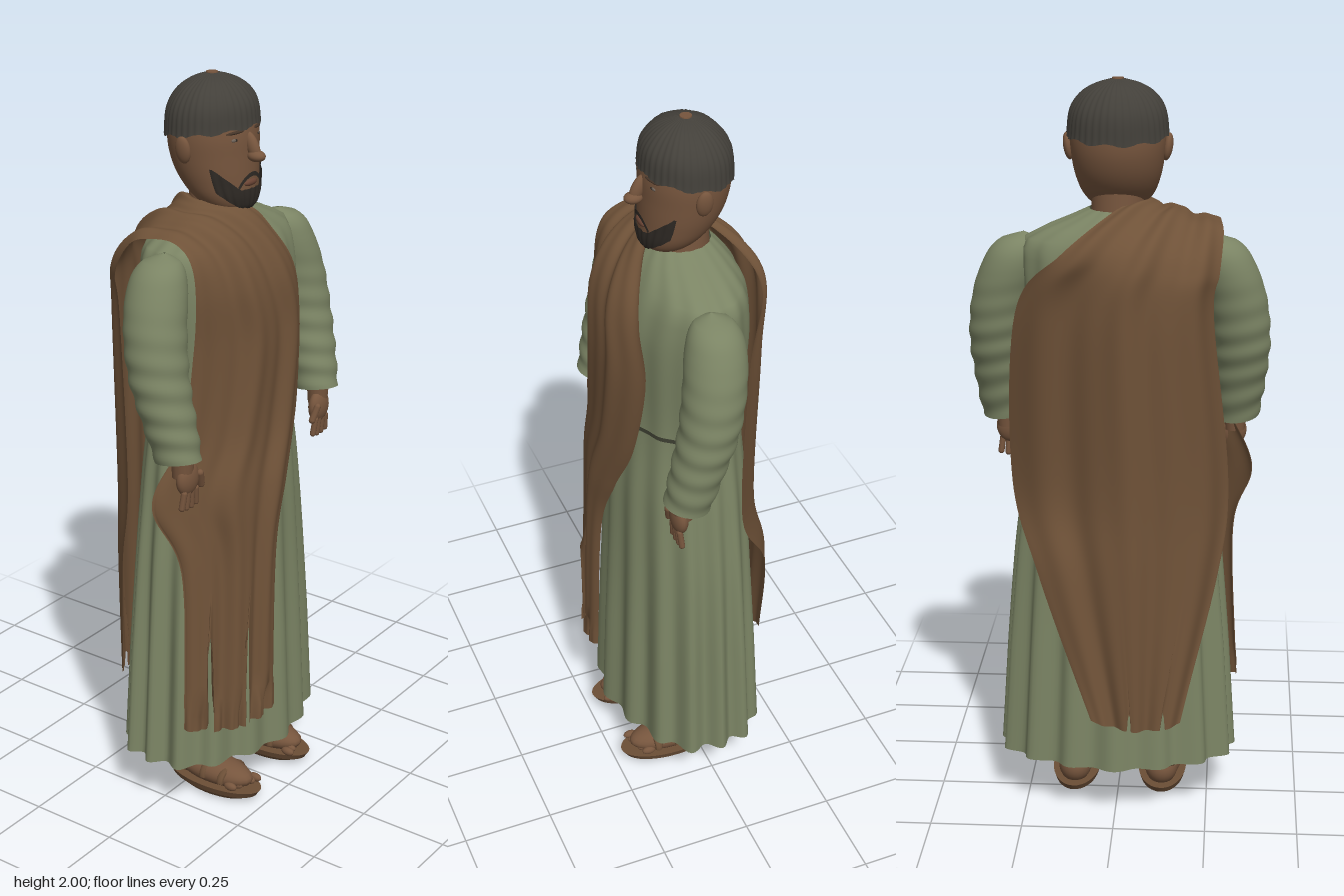
import * as THREE from 'three';
import { mergeVertices } from 'three/addons/utils/BufferGeometryUtils.js';

const mat = (name, color) => new THREE.MeshStandardMaterial({ name, color, side: THREE.DoubleSide });
const { sin, cos, abs, exp, min, max, PI } = Math;

// Smoothly interpolate table rows by their first column
function sample(rows, k) {
  let i = 0;
  while (i < rows.length - 2 && k > rows[i + 1][0]) i++;
  const a = rows[i], b = rows[i + 1], p = rows[i - 1] || a, n = rows[i + 2] || b;
  const h = b[0] - a[0], t = min(1, max(0, (k - a[0]) / h));
  return a.map((_, j) => {
    const m0 = (b[j] - p[j]) / (b[0] - p[0]) * h, m1 = (n[j] - a[j]) / (n[0] - a[0]) * h;
    return a[j] * (2 * t ** 3 - 3 * t * t + 1) + m0 * (t ** 3 - 2 * t * t + t)
      + b[j] * (3 * t * t - 2 * t ** 3) + m1 * (t ** 3 - t * t);
  });
}

// Grid surface from fn(u, v) -> [x, y, z]
function surface(nu, nv, fn) {
  const pos = [], idx = [];
  for (let j = 0; j <= nv; j++) for (let i = 0; i <= nu; i++) {
    pos.push(...fn(i / nu, j / nv));
    if (i < nu && j < nv) {
      const a = j * (nu + 1) + i, d = a + nu + 1;
      idx.push(a, a + 1, d + 1, a, d + 1, d);
    }
  }
  let g = new THREE.BufferGeometry();
  g.setAttribute('position', new THREE.Float32BufferAttribute(pos, 3));
  g.setIndex(idx);
  g = mergeVertices(g, 1e-5);
  g.computeVertexNormals();
  return g;
}
const ring = (n, nv, y0, y1, fn) => surface(n, nv, (u, v) => fn(u * 2 * PI, y0 + v * (y1 - y0)));

// Robe sections: y, half width, front depth, back depth
const ROBE = [
  [0.15, 0.318, 0.222, 0.197], [0.7, 0.28, 0.2, 0.17], [0.95, 0.252, 0.19, 0.16],
  [1.18, 0.227, 0.172, 0.145], [1.45, 0.25, 0.178, 0.16], [1.54, 0.254, 0.16, 0.152],
  [1.59, 0.24, 0.135, 0.135], [1.64, 0.13, 0.1, 0.1], [1.665, 0.075, 0.078, 0.078]];
function robePoint(th, y, off = 0) {
  const [, rx, f, b] = sample(ROBE, y);
  const amp = 0.003 + 0.009 * max(0, min(1, (1.15 - y) / 0.7));
  const r = 1 + (off + amp * (cos(16 * th) + 0.4 * cos(6 * th))) / 0.24;
  return [sin(th) * rx * r, y, cos(th) * (cos(th) > 0 ? f : b) * r];
}

// Head and cap sections: y, half width, centre z, half depth
const HEAD = [
  [1.65, 0.005, 0.05, 0.005], [1.66, 0.05, 0.045, 0.045], [1.69, 0.086, 0.028, 0.077],
  [1.74, 0.108, 0.006, 0.1], [1.8, 0.12, -0.008, 0.112], [1.86, 0.124, -0.012, 0.113],
  [1.92, 0.113, -0.015, 0.1], [1.97, 0.07, -0.015, 0.06], [1.985, 0.005, -0.015, 0.005]];
const CAP = [
  [1.858, 0.131, -0.014, 0.117], [1.92, 0.122, -0.015, 0.11], [1.96, 0.096, -0.015, 0.086],
  [1.985, 0.056, -0.015, 0.052], [1.998, 0.012, -0.015, 0.012]];
function ovalPoint(rows, th, y, off = 0) {
  const [, rx, cz, rz] = sample(rows, y);
  return [sin(th) * (rx + off), y, cz + cos(th) * (rz + off)];
}

// Sleeve rings: y, x, z, radius
const SLEEVE = [
  [1.08, 0.318, 0.11, 0.059], [1.18, 0.323, 0.085, 0.069], [1.3, 0.325, 0.055, 0.077],
  [1.42, 0.311, 0.035, 0.08], [1.52, 0.282, 0.022, 0.075], [1.575, 0.264, 0.02, 0.05],
  [1.595, 0.25, 0.02, 0.003]];

// Cloak edges and middle line, from front hem over the shoulder to back hem
const OUTER = [
  [-0.33, 0.3, 0.13], [-0.31, 0.75, 0.11], [-0.355, 0.95, 0.05], [-0.28, 1.12, 0.09], [-0.256, 1.35, 0.11],
  [-0.26, 1.5, 0.12], [-0.262, 1.585, 0.105], [-0.262, 1.625, 0.06], [-0.268, 1.63, 0], [-0.275, 1.61, -0.07],
  [-0.27, 1.52, -0.13], [-0.26, 1.4, -0.13], [-0.305, 0.95, -0.08], [-0.28, 0.7, -0.125], [-0.18, 0.3, -0.212]];
const MIDDLE = [
  [-0.2, 0.28, 0.222], [-0.17, 0.75, 0.213], [-0.16, 0.95, 0.21], [-0.1, 1.12, 0.21], [-0.06, 1.35, 0.213],
  [-0.08, 1.5, 0.197], [-0.1, 1.6, 0.15], [-0.13, 1.657, 0.075], [-0.15, 1.665, 0], [-0.13, 1.65, -0.09],
  [-0.08, 1.56, -0.195], [-0.03, 1.4, -0.218], [-0.04, 0.95, -0.208], [-0.05, 0.7, -0.214], [-0.06, 0.28, -0.225]];
const INNER = [
  [-0.06, 0.3, 0.237], [-0.035, 0.75, 0.228], [0.04, 0.95, 0.212], [0.12, 1.12, 0.187], [0.16, 1.35, 0.165],
  [0.125, 1.5, 0.168], [0.065, 1.605, 0.14], [0.005, 1.676, 0.095], [-0.07, 1.69, 0], [0, 1.678, -0.09],
  [0.14, 1.57, -0.165], [0.265, 1.4, -0.08], [0.28, 0.95, -0.06], [0.2, 0.7, -0.165], [0.06, 0.31, -0.222]];
const LINES = [OUTER, MIDDLE, INNER].map(line => line.map((p, i) => [i, ...p]));
function cloakPoint(u, v) {
  const [a, b, c] = LINES.map(line => sample(line, v * (line.length - 1)));
  const p = [1, 2, 3].map(j =>
    2 * (u - 0.5) * (u - 1) * a[j] + 4 * u * (1 - u) * b[j] + 2 * u * (u - 0.5) * c[j]);
  // tails parted by narrow slits, deep in front and shallow behind
  const slit = exp(-(((u - 0.2) / 0.012) ** 2)) + exp(-(((u - 0.575) / 0.012) ** 2));
  if (p[1] < 0.68) p[1] += (v < 0.4 ? 0.3 : 0.05) * slit * (0.68 - p[1]) / 0.4;
  return p;
}

// Cloak with broad folds pushed along its normals
function cloakGeometry(nu, nv) {
  const g = surface(nu, nv, cloakPoint), P = g.attributes.position, N = g.attributes.normal;
  for (let k = 0; k < P.count; k++) {
    const u = k % (nu + 1) / nu, v = Math.floor(k / (nu + 1)) / nv;
    const amp = 0.009 - 0.004 * exp(-(((v - 0.55) / 0.1) ** 2));
    const d = amp * (cos(2 * PI * (2.7 * u - 0.3 + 0.2 * sin(5 * v))) + 0.35 * sin(11 * PI * u + 4 * v));
    P.setXYZ(k, P.getX(k) + N.getX(k) * d, P.getY(k) + N.getY(k) * d, P.getZ(k) + N.getZ(k) * d);
  }
  g.computeVertexNormals();
  return g;
}

export function createModel() {
  const group = new THREE.Group();
  const robeMat = mat('robe green', 0x7b8464), cloakMat = mat('cloak brown', 0x6f5238);
  const skin = mat('skin', 0x76553d), hair = mat('hair charcoal', 0x43403a);
  const beardMat = mat('beard black', 0x2f2a25), sandalMat = mat('sandal leather', 0x6b4e36);
  const beltMat = mat('belt dark', 0x3e4032), lipMat = mat('lips', 0x6a4434);
  const eyeMat = mat('eye grey', 0x6f645a), browMat = mat('brow brown', 0x443428);
  const add = (name, geo, m, p = [0, 0, 0], s = [1, 1, 1], r = [0, 0, 0]) => {
    const mesh = new THREE.Mesh(geo, m);
    mesh.name = name;
    mesh.position.set(...p);
    mesh.scale.set(...s);
    mesh.rotation.set(...r);
    group.add(mesh);
  };
  const ball = new THREE.SphereGeometry(1, 24, 16);

  // Clothes
  add('robe', ring(160, 60, 0.15, 1.665, (th, y) => robePoint(th, y)), robeMat);
  add('belt', ring(160, 1, 1.175, 1.187, (th, y) => robePoint(th, y, 0.004)), beltMat);
  add('cloak', cloakGeometry(160, 150), cloakMat);

  // Head, neck and cap
  add('neck', new THREE.CylinderGeometry(0.066, 0.074, 0.14, 32), skin, [0, 1.66, -0.004]);
  add('head', ring(48, 40, 1.65, 1.985, (th, y) => ovalPoint(HEAD, th, y)), skin);
  add('cap', ring(160, 24, 1.858, 1.998, (th, y) => {
    const p = ovalPoint(CAP, th, y, 0.0015 * sin(40 * th));
    p[1] += (0.016 * cos(th) + 0.004 * sin(9 * th)) * (1.998 - y) / 0.14;
    return p;
  }), hair);
  add('crown spot', new THREE.CylinderGeometry(0.015, 0.016, 0.006, 20), skin, [0, 1.997, -0.015]);

  // Beard, moustache and lips
  add('beard', surface(40, 14, (u, v) => {
    const th = (u - 0.5) * 2.1, top = 1.72 + 0.06 * max(0, min(1, (abs(th) - 0.4) / 0.6));
    const low = 1.658 + 0.06 * (abs(th) / 1.05) ** 2;
    return ovalPoint(HEAD, th, low + v * (top - low), 0.005 + 0.002 * sin(30 * th));
  }), beardMat);
  add('moustache', surface(24, 4, (u, v) => {
    const th = (u - 0.5) * 0.9;
    return ovalPoint(HEAD, th, 1.75 + 0.011 * v - 0.032 * (abs(th) / 0.45) ** 2, 0.005);
  }), beardMat);
  add('lips', ball, lipMat, [0, 1.733, 0.104], [0.026, 0.009, 0.008]);

  // Nose
  add('nose bridge', ball, skin, [0, 1.826, 0.11], [0.014, 0.04, 0.018], [-0.45, 0, 0]);
  add('nose tip', ball, skin, [0, 1.803, 0.122], [0.02, 0.015, 0.025]);

  for (const s of [-1, 1]) {
    const side = s > 0 ? 'left ' : 'right ';
    // Ear and eye
    add(side + 'ear', ball, skin, [s * 0.128, 1.825, -0.012], [0.013, 0.036, 0.022], [0, 0, -s * 0.15]);
    add(side + 'eye', ball, eyeMat, [s * 0.045, 1.848, 0.089], [0.016, 0.006, 0.005]);
    add(side + 'pupil', ball, beardMat, [s * 0.045, 1.848, 0.092], [0.006, 0.005, 0.003]);
    add(side + 'eyebrow', ball, browMat, [s * 0.048, 1.867, 0.09], [0.026, 0.004, 0.006], [0, s * 0.4, -s * 0.08]);

    // Arm and hand
    add(side + 'sleeve', ring(40, 60, 1.08, 1.595, (th, y) => {
      const [, x, z, r] = sample(SLEEVE, y);
      const w = r + 0.0025 * sin(y * 95 + 1.5 * sin(th)) * max(0, min(1, (1.5 - y) * 5));
      return [s * x + sin(th) * w, y + 0.012 * cos(th + 0.6) * max(0, 1.2 - y) * 8, z + cos(th) * w];
    }), robeMat);
    add(side + 'wrist', new THREE.CylinderGeometry(0.034, 0.027, 0.1, 16), skin, [s * 0.312, 1.085, 0.118]);
    add(side + 'palm', ball, skin, [s * 0.304, 1.03, 0.127], [0.04, 0.046, 0.022]);
    for (let i = 0; i < 4; i++)
      add(side + 'finger', new THREE.CapsuleGeometry(0.0085, 0.052 - 0.007 * abs(i - 1.4), 4, 8), skin,
        [s * (0.276 + i * 0.018), 0.976, 0.132], [1, 1, 1], [0.1, 0, s * (i - 1.5) * 0.09]);
    add(side + 'thumb', new THREE.CapsuleGeometry(0.01, 0.04, 4, 8), skin,
      [s * 0.266, 1.02, 0.14], [1, 1, 1], [0.2, 0, -s * 0.35]);

    // Leg, foot and sandal
    const x = s * 0.122;
    add(side + 'leg', new THREE.CylinderGeometry(0.056, 0.045, 0.36, 24), skin, [x, 0.24, 0.005]);
    add(side + 'foot', ball, skin, [x, 0.058, 0.08], [0.054, 0.04, 0.125]);
    add(side + 'heel', ball, skin, [x, 0.07, 0], [0.046, 0.05, 0.055]);
    add(side + 'sole', new THREE.CylinderGeometry(1, 0.92, 0.018, 40), sandalMat, [x, 0.026, 0.08], [0.068, 1, 0.152]);
    add(side + 'tread', new THREE.CylinderGeometry(0.92, 0.7, 0.017, 40), sandalMat, [x, 0.0085, 0.08], [0.068, 1, 0.152]);
    for (let i = 0; i < 5; i++)
      add(side + 'toe', ball, skin, [x + s * (i - 2) * 0.02, 0.045, 0.19 - 0.007 * i], [0.011, 0.012, 0.02]);
    for (const [z, h] of [[0.135, 0.035], [0.075, 0.042]])
      add(side + 'strap', new THREE.TorusGeometry(1, 0.14, 8, 24, PI), sandalMat, [x, 0.052, z], [0.053, h, 0.08]);
    add(side + 'ankle strap', new THREE.TorusGeometry(0.05, 0.008, 8, 28), sandalMat, [x, 0.095, 0.004], [1, 1, 1], [PI / 2, 0, 0]);
  }
  return group;
}
